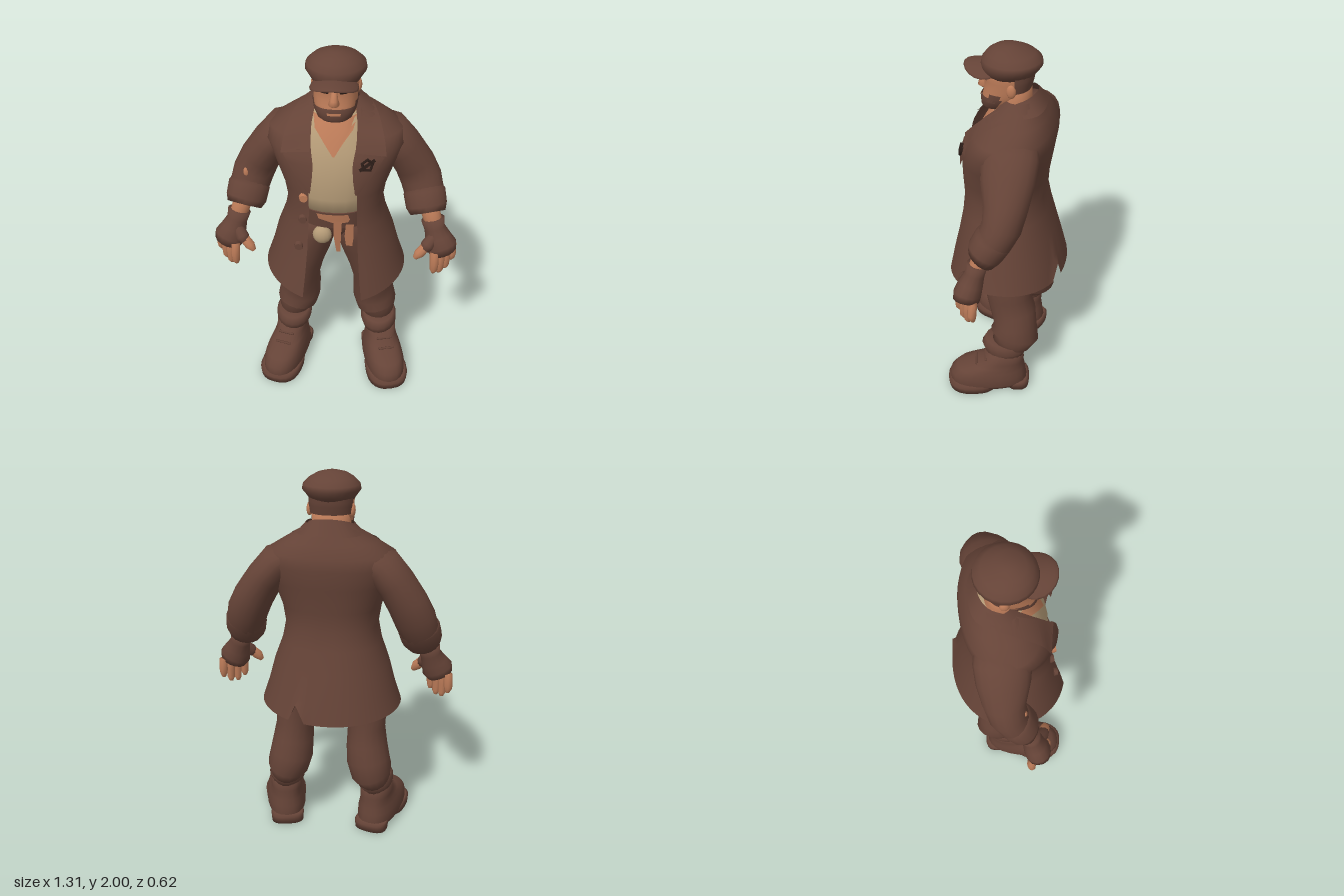
import * as THREE from 'three';

const mat = (name, color) => {
  const m = new THREE.MeshStandardMaterial({ color, side: THREE.DoubleSide });
  m.name = name;
  return m;
};
const TAU = Math.PI * 2;

// Surface through rows of points; closed wraps round, cap fills both ends
function grid(rows, closed = false, cap = false) {
  const n = rows[0].length, pos = rows.flat(2), idx = [];
  const last = closed ? n : n - 1;
  for (let i = 0; i < rows.length - 1; i++)
    for (let j = 0; j < last; j++) {
      const a = i * n + j, b = i * n + (j + 1) % n;
      idx.push(a, b, b + n, a, b + n, a + n);
    }
  if (cap) [0, rows.length - 1].forEach((r, e) => {
    const c = pos.length / 3;
    for (let k = 0; k < 3; k++) pos.push(rows[r].reduce((s, p) => s + p[k], 0) / n);
    for (let j = 0; j < n; j++) {
      const a = r * n + j, b = r * n + (j + 1) % n;
      e ? idx.push(a, b, c) : idx.push(b, a, c);
    }
  });
  const g = new THREE.BufferGeometry();
  g.setAttribute('position', new THREE.Float32BufferAttribute(pos, 3));
  g.setIndex(idx);
  g.computeVertexNormals();
  return g;
}

// Point of a rounded section [y, halfWidth, zFront, zBack] at angle t from the front
const spow = (v, e) => Math.sign(v) * Math.abs(v) ** e;
function onRing([y, w, zf, zb], t, p = 2.3, grow = 0) {
  return [(w + grow) * spow(Math.sin(t), 2 / p), y,
    (zf + zb) / 2 + ((zf - zb) / 2 + grow) * spow(Math.cos(t), 2 / p)];
}
function loft(rows, { p = 2.3, n = 24, grow = 0, arc = null } = {}) {
  return grid(rows.map(r => Array.from({ length: arc ? n + 1 : n }, (_, j) =>
    onRing(r, arc ? arc[0] + (arc[1] - arc[0]) * j / n : TAU * j / n, p, grow))), !arc, !arc);
}

// Round limb along points [x, y, z, radiusAcross, radiusDepth]
function limb(pts, n = 14) {
  const V = pts.map(p => new THREE.Vector3(p[0], p[1], p[2])), zRef = new THREE.Vector3(0, 0, 1);
  return grid(pts.map((p, i) => {
    const T = V[Math.min(i + 1, V.length - 1)].clone().sub(V[Math.max(i - 1, 0)]).normalize();
    const u = T.clone().cross(zRef).normalize(), v = u.clone().cross(T);
    return Array.from({ length: n }, (_, j) => V[i].clone()
      .addScaledVector(u, Math.sin(TAU * j / n) * p[3])
      .addScaledVector(v, Math.cos(TAU * j / n) * p[4]).toArray());
  }), true, true);
}

// Front depth of a lofted body at x, y
const frontZ = (rows, p = 2.3) => (x, y) => {
  let i = 0;
  while (i < rows.length - 2 && rows[i + 1][0] < y) i++;
  const f = THREE.MathUtils.clamp((y - rows[i][0]) / (rows[i + 1][0] - rows[i][0]), 0, 1);
  const [w, zf, zb] = [1, 2, 3].map(k => rows[i][k] + (rows[i + 1][k] - rows[i][k]) * f);
  return (zf + zb) / 2 + (zf - zb) / 2 * Math.max(0, 1 - Math.min(1, Math.abs(x) / w) ** p) ** (1 / p);
};
// Thin patch hugging a body: rows of [y, xStart, xEnd]
const patch = (rows, zf, off, n = 6) => grid(rows.map(([y, a, b]) =>
  Array.from({ length: n + 1 }, (_, j) => {
    const x = a + (b - a) * j / n;
    return [x, y, zf(x, y) + off];
  })));

// [y, halfWidth, zFront, zBack, frontOpening]
const COAT = [[0.745, 0.38, 0.332, -0.31, 0.155], [0.87, 0.345, 0.3, -0.28, 0.14], [1.0, 0.31, 0.27, -0.245, 0.13],
  [1.12, 0.265, 0.245, -0.21, 0.125], [1.22, 0.245, 0.235, -0.19, 0.12], [1.32, 0.26, 0.238, -0.195, 0.12],
  [1.45, 0.305, 0.235, -0.215, 0.105], [1.55, 0.345, 0.205, -0.23, 0.105], [1.61, 0.33, 0.165, -0.22, 0.11],
  [1.67, 0.235, 0.115, -0.19, 0.11], [1.72, 0.155, 0.06, -0.155, 0.1], [1.76, 0.12, 0.03, -0.135, 0.085]];
const TORSO = [[1.17, 0.19, 0.185, -0.14], [1.28, 0.2, 0.2, -0.15], [1.42, 0.23, 0.2, -0.17],
  [1.54, 0.23, 0.165, -0.17], [1.63, 0.17, 0.12, -0.15], [1.7, 0.11, 0.07, -0.12]];
const HIPS = [[0.95, 0.08, 0.07, -0.09], [1.01, 0.17, 0.125, -0.14], [1.09, 0.195, 0.172, -0.155], [1.2, 0.195, 0.19, -0.15]];
const HEAD = [[1.69, 0.06, 0.125, 0.02], [1.705, 0.08, 0.138, -0.01], [1.74, 0.098, 0.14, -0.05], [1.77, 0.104, 0.132, -0.08],
  [1.80, 0.107, 0.126, -0.095], [1.84, 0.11, 0.122, -0.105], [1.86, 0.112, 0.13, -0.108], [1.9, 0.11, 0.125, -0.11]];

export function createModel() {
  const model = new THREE.Group();
  const brown = mat('brown cloth', 0x654337), skin = mat('skin', 0xbc7b58),
    tan = mat('tan shirt', 0xb59b77), dark = mat('dark brown', 0x2c1d18);
  const add = (name, geo, m, pos = [0, 0, 0], scale = [1, 1, 1]) => {
    const mesh = new THREE.Mesh(geo, m);
    mesh.name = name;
    mesh.position.set(...pos);
    mesh.scale.set(...scale);
    model.add(mesh);
    return mesh;
  };
  const ball = new THREE.SphereGeometry(1, 14, 10);
  const coatZ = frontZ(COAT), torsoZ = frontZ(TORSO), hipZ = frontZ(HIPS), headZ = frontZ(HEAD);

  // Open coat with a sloping hem and a small back vent
  const N = 44;
  add('coat', grid(COAT.map((r, i) => {
    const p = i < 3 ? 2.1 : 2.3, t0 = Math.asin((r[4] / r[1]) ** (p / 2));
    return Array.from({ length: N + 1 }, (_, j) => {
      const t = t0 + (TAU - 2 * t0) * j / N, q = onRing(r, t, p);
      if (i === 0) q[1] += 0.022 * Math.sin(t) ** 2 - (Math.cos(t) > 0 ? 0.038 * Math.cos(t) ** 2 : 0) + (j === 19 ? 0.1 : 0);
      return q;
    });
  })), brown);

  // Turned-down collar, mirrored about the back of the neck
  const edge = half => new THREE.CatmullRomCurve3([...half.slice(1).reverse().map(([x, y, z]) => [-x, y, z]), ...half]
    .map(a => new THREE.Vector3(...a))).getPoints(32).map(v => v.toArray());
  const inner = edge([[0, 1.79, -0.135], [0.085, 1.775, -0.1], [0.12, 1.73, 0.01], [0.12, 1.65, 0.125], [0.11, 1.57, 0.205]]);
  const outer = edge([[0, 1.715, -0.18], [0.12, 1.71, -0.155], [0.19, 1.7, -0.03], [0.24, 1.62, 0.13], [0.255, 1.54, 0.175]]);
  add('collar', grid([outer, inner]), brown);

  // Shirt, open neck, hips and belt
  add('shirt', loft(TORSO), tan);
  add('openNeck', patch([[1.525, -0.005, 0.005], [1.58, -0.045, 0.04], [1.64, -0.095, 0.09], [1.69, -0.108, 0.108]], torsoZ, 0.006, 10), skin);
  add('hips', loft(HIPS), brown);
  add('waistband', patch([[1.1, -0.15, 0.15], [1.205, -0.15, 0.15]], hipZ, 0.012, 12), brown);
  add('belt', patch([[1.145, -0.01, 0.075], [1.165, -0.075, 0.085], [1.2, -0.085, 0.075]], hipZ, 0.018), skin);
  const strapZ = (x, y) => 0.2 - 0.15 * (1.16 - y);
  add('beltStrap', patch([[0.935, 0.015, 0.035], [1.06, 0.0, 0.04], [1.16, 0.002, 0.045]], strapZ, 0.008, 2), skin);
  add('sideStrap', patch([[0.98, 0.065, 0.098], [1.05, 0.058, 0.105], [1.14, 0.065, 0.105]], strapZ, 0.003, 2), skin);
  add('pouch', ball, tan, [-0.06, 1.04, 0.165], [0.05, 0.054, 0.035]);

  // Neck and head
  add('neck', loft([[1.58, 0.13, 0.1, -0.13], [1.66, 0.112, 0.088, -0.115], [1.73, 0.098, 0.07, -0.1], [1.82, 0.095, 0.07, -0.1]]), skin);
  add('head', loft(HEAD), skin);
  add('beard', loft([...HEAD.slice(0, 3), [1.762, 0.103, 0.133, -0.075]], { grow: 0.005, arc: [-1.65, 1.65] }), brown);
  add('lips', patch([[1.733, -0.03, 0.03], [1.745, -0.035, 0.035]], headZ, 0.009), skin);
  add('hair', loft(HEAD.slice(4), { grow: 0.006, arc: [1.95, TAU - 1.95] }), brown);
  add('brow', patch([[1.847, -0.085, 0.085], [1.868, -0.09, 0.09]], headZ, 0.006, 10), brown);
  add('nose', loft([[1.775, 0.018, 0.145, 0.1], [1.787, 0.027, 0.163, 0.1], [1.81, 0.02, 0.157, 0.1], [1.85, 0.013, 0.135, 0.1]], { n: 12 }), skin);

  // Flat cap and drooping peak
  add('cap', loft([[1.865, 0.112, 0.13, -0.112], [1.885, 0.125, 0.138, -0.13], [1.915, 0.147, 0.142, -0.152],
    [1.94, 0.142, 0.137, -0.148], [1.968, 0.113, 0.115, -0.115], [1.988, 0.076, 0.085, -0.06], [2.0, 0.03, 0.04, -0.02]], { p: 2 }), brown);
  const peak = new THREE.SphereGeometry(1, 20, 10).scale(0.115, 0.014, 0.11), pp = peak.attributes.position;
  for (let i = 0; i < pp.count; i++) pp.setY(i, pp.getY(i) - 2.6 * pp.getX(i) ** 2);
  peak.computeVertexNormals();
  add('capPeak', peak, brown, [0, 1.9, 0.117]);

  for (const s of [-1, 1]) {
    const side = s > 0 ? 'left' : 'right';
    const flip = pts => pts.map(([x, ...r]) => [x * s, ...r]);
    const put = (name, pts, m, n) => add(side + name, limb(flip(pts), n), m);

    add(side + 'Ear', ball, skin, [0.108 * s, 1.815, -0.025], [0.015, 0.034, 0.023]);
    add(side + 'Eye', patch([[1.836, 0.028 * s, 0.06 * s], [1.846, 0.025 * s, 0.065 * s]], headZ, 0.005, 3), dark);
    add(side + 'Sideburn', loft([HEAD[2], HEAD[3], [1.785, 0.1055, 0.129, -0.088]], { grow: 0.005, n: 6, arc: [1.05 * s, 1.55 * s] }), brown);
    add(side + 'Lapel', patch([[1.35, 0.11, 0.125], [1.43, 0.1, 0.18], [1.5, 0.095, 0.225], [1.53, 0.098, 0.245], [1.57, 0.105, 0.17]]
      .map(([y, a, b]) => [y, a * s, b * s]), coatZ, 0.012), brown);

    // Arm: sleeve, turned cuff, wrist, fingerless glove, fingers
    put('Sleeve', [[0.17, 1.61, -0.05, 0.055, 0.12], [0.265, 1.545, -0.055, 0.1, 0.14], [0.335, 1.465, -0.06, 0.098, 0.132],
      [0.4, 1.36, -0.065, 0.105, 0.108], [0.438, 1.28, -0.055, 0.108, 0.098], [0.463, 1.2, -0.02, 0.103, 0.09], [0.48, 1.14, 0.01, 0.09, 0.08]], brown, 18);
    put('Cuff', [[0.455, 1.235, -0.035, 0.095, 0.09], [0.46, 1.215, -0.02, 0.11, 0.097], [0.475, 1.15, 0.015, 0.108, 0.093],
      [0.485, 1.115, 0.035, 0.092, 0.078], [0.48, 1.13, 0.03, 0.06, 0.055]], brown, 18);
    put('Wrist', [[0.485, 1.16, 0.02, 0.05, 0.045], [0.52, 1.06, 0.055, 0.048, 0.042]], skin);
    put('Glove', [[0.512, 1.09, 0.05, 0.062, 0.052], [0.525, 1.04, 0.06, 0.055, 0.05], [0.545, 0.99, 0.075, 0.07, 0.062],
      [0.565, 0.945, 0.088, 0.085, 0.07], [0.58, 0.91, 0.092, 0.072, 0.066]], brown);
    put('ThumbSleeve', [[0.535, 1.02, 0.08, 0.03, 0.03], [0.49, 0.965, 0.125, 0.036, 0.034], [0.475, 0.947, 0.135, 0.028, 0.027]], brown, 10);
    put('Thumb', [[0.49, 0.97, 0.125, 0.027, 0.025], [0.45, 0.925, 0.145, 0.028, 0.025], [0.43, 0.898, 0.15, 0.013, 0.013]], skin, 10);
    for (let i = 0; i < 4; i++) {
      const x = 0.53 + i * 0.032, z = 0.14 - i * 0.031, tip = [0.795, 0.775, 0.782, 0.818][i];
      put('Finger' + (i + 1), [[x, 0.93, z, 0.024, 0.023], [x + 0.004, 0.86, z + 0.004, 0.024, 0.022],
        [x + 0.004, tip + 0.022, z + 0.004, 0.021, 0.02], [x + 0.002, tip, z, 0.01, 0.01]], skin, 8);
    }

    // Leg: baggy trousers and rolled cuff
    put('TrouserLeg', [[0.085, 1.12, 0.005, 0.09, 0.155], [0.11, 1.0, 0, 0.115, 0.155], [0.145, 0.9, -0.015, 0.128, 0.145],
      [0.19, 0.75, -0.025, 0.122, 0.138], [0.2, 0.62, -0.035, 0.103, 0.122], [0.207, 0.53, -0.06, 0.112, 0.125],
      [0.217, 0.44, -0.075, 0.12, 0.118], [0.235, 0.37, -0.075, 0.117, 0.137], [0.245, 0.335, -0.06, 0.098, 0.115],
      [0.25, 0.28, -0.03, 0.08, 0.09]], brown, 18);
    put('TrouserCuff', [[0.25, 0.335, -0.02, 0.088, 0.11], [0.25, 0.315, -0.02, 0.104, 0.13], [0.258, 0.265, -0.03, 0.1, 0.12], [0.262, 0.235, -0.03, 0.08, 0.1]], brown, 18);

    // Boot turned outwards, with separate front sole and heel
    const boot = new THREE.Group();
    boot.name = side + 'Boot';
    boot.position.set(0.265 * s, 0, -0.023);
    boot.rotation.y = 0.25 * s;
    const onBoot = (name, geo) => {
      const mesh = new THREE.Mesh(geo, brown);
      mesh.name = name;
      boot.add(mesh);
      return mesh;
    };
    onBoot('upper', loft([[0.025, 0.105, 0.31, -0.12], [0.05, 0.114, 0.316, -0.128], [0.1, 0.112, 0.312, -0.12],
      [0.14, 0.102, 0.275, -0.115], [0.168, 0.092, 0.19, -0.11], [0.2, 0.086, 0.115, -0.11], [0.28, 0.085, 0.085, -0.105]], { p: 2.4 }));
    onBoot('frontSole', loft([[0, 0.118, 0.325, 0.04], [0.042, 0.122, 0.33, 0.03], [0.052, 0.11, 0.31, 0.04]], { p: 2.5 }));
    onBoot('heel', loft([[0, 0.092, -0.01, -0.14], [0.042, 0.095, 0, -0.143], [0.052, 0.088, -0.01, -0.128]], { p: 2.7 }));
    for (let i = 0; i < 2; i++)
      onBoot('lace', new THREE.CapsuleGeometry(0.007, 0.08, 3, 6).rotateZ(Math.PI / 2)).position.set(0, 0.178 + i * 0.027, 0.165 - i * 0.055);
    model.add(boot);
  }

  // Buttons, lapel badge and sleeve tear
  const disc = new THREE.CylinderGeometry(0.02, 0.025, 0.02, 12).rotateX(Math.PI / 2);
  [[-0.145, 1.305], [-0.152, 1.17], [-0.175, 1.015]].forEach(([x, y], i) =>
    add('button' + (i + 1), disc, i ? brown : skin, [x, y, coatZ(x, y) + 0.006]));
  const badge = add('badge', new THREE.TorusGeometry(0.028, 0.008, 6, 5), dark, [0.165, 1.51, coatZ(0.165, 1.51) + 0.016]);
  badge.rotation.set(-0.3, 0.3, 0.3);
  const pin = new THREE.Mesh(new THREE.BoxGeometry(0.09, 0.014, 0.009), dark);
  pin.name = 'badgePin';
  pin.rotation.z = 0.3;
  badge.add(pin);
  add('sleeveTear', ball, skin, [-0.462, 1.315, 0.026], [0.016, 0.03, 0.014]);
  return model;
}
